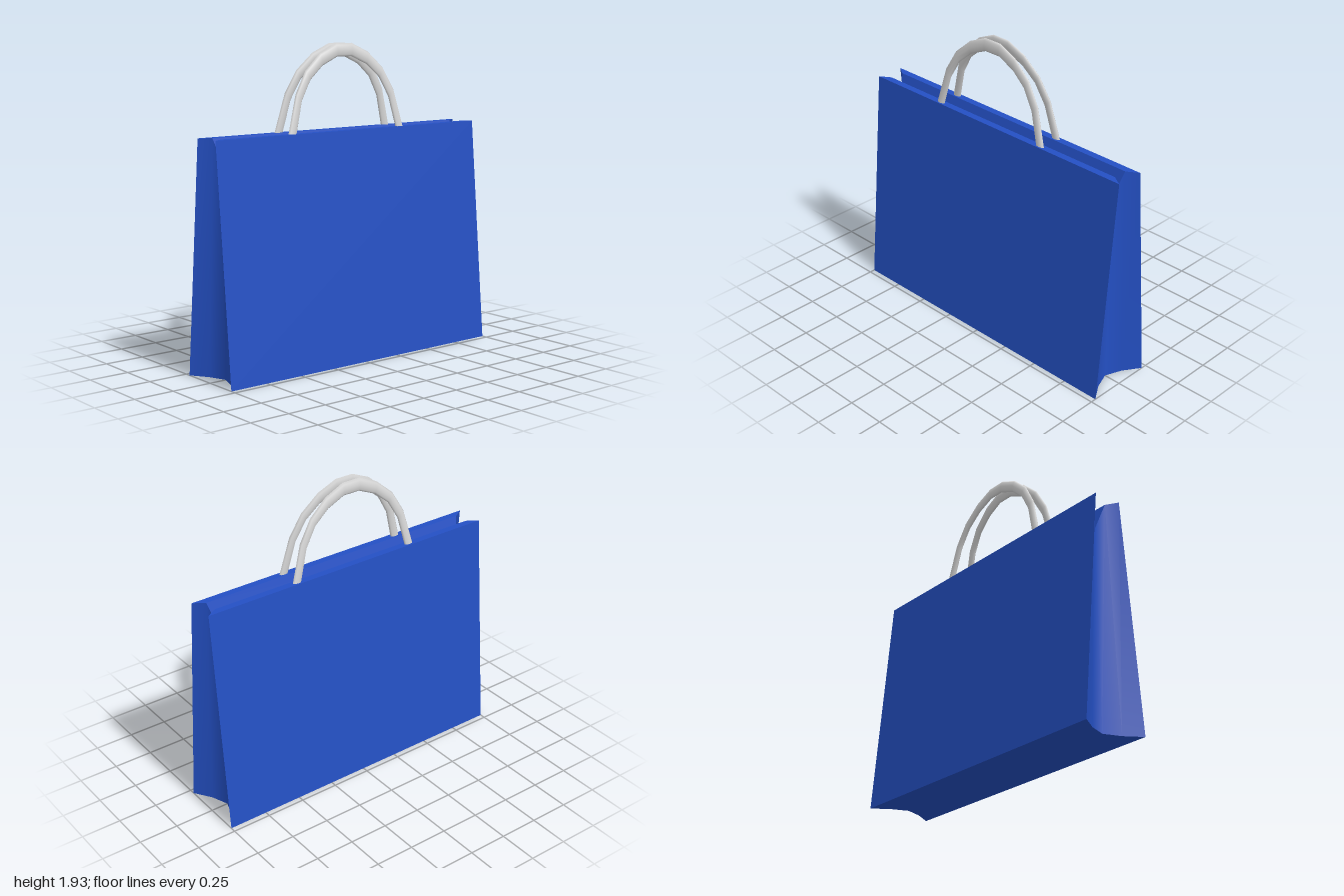
import * as THREE from 'three';
import { mergeVertices } from 'three/addons/utils/BufferGeometryUtils.js';

const TOP = 1.41, VALLEY = 1.26;
const blue = new THREE.MeshStandardMaterial({ color: 0x2450c4 });
blue.name = 'blue paper';
const grey = new THREE.MeshStandardMaterial({ color: 0xd8d8d8 });
grey.name = 'pale grey cord';

// Surface lofted through rows of [x, y, z] points
function loft(rows, smooth) {
  const n = rows[0].length, index = [];
  for (let r = 0; r < rows.length - 1; r++) {
    for (let i = 0; i < n - 1; i++) {
      const a = r * n + i, b = a + 1, c = b + n, d = a + n;
      index.push(a, b, c, a, c, d);
    }
  }
  let g = new THREE.BufferGeometry();
  g.setAttribute('position', new THREE.Float32BufferAttribute(rows.flat(2), 3));
  g.setIndex(index);
  g = smooth ? mergeVertices(g, 1e-5) : g.toNonIndexed();
  g.computeVertexNormals();
  return g;
}

// Folded end edge: five points from -x to +x, creased inward at the middle
const endRow = (halfWidth, y, midY, side) =>
  [[-1, 1], [-0.5, 0.93], [0, 0.89], [0.5, 0.93], [1, 1]]
    .map(([x, z]) => [x * halfWidth, x === 0 ? midY : y, z * side]);

// Handle arch: half spans and heights of the outer and inner edge
const OUTER = [[0.445, 0], [0.38, 0.23], [0.3, 0.365], [0.185, 0.465], [0.06, 0.52]];
const INNER = [[0.385, 0], [0.335, 0.19], [0.265, 0.31], [0.17, 0.39], [0.055, 0.44]];
const mirrored = (pts) => [...pts, ...[...pts].reverse().map(([z, y]) => [-z, y])];

function handleGeometry(side) {
  const outer = mirrored(OUTER), inner = mirrored(INNER), sides = 8;
  const rings = outer.map(([oz, oy], k) => {
    const [iz, iy] = inner[k], ring = [];
    for (let i = 0; i <= sides; i++) {
      const t = (i % sides) / sides * Math.PI * 2;
      const c = Math.cos(t) / 2;
      const y = (oy + iy) / 2 + (oy - iy) * c;
      const z = (oz + iz) / 2 + (oz - iz) * c;
      // the arch leans towards the middle of the bag
      const x = side * (0.068 - 0.067 * y) + 0.0135 * Math.sin(t);
      ring.push([x, TOP + y, z + 0.03]);
    }
    return ring;
  });
  return loft(rings, true);
}

export function createModel() {
  const group = new THREE.Group();
  group.name = 'shoppingBag';
  const add = (name, geometry, material) => {
    const mesh = new THREE.Mesh(geometry, material);
    mesh.name = name;
    group.add(mesh);
  };

  const bottomFront = endRow(0.215, 0, 0, 1), bottomBack = endRow(0.215, 0, 0, -1);
  const topFront = endRow(0.09, TOP, VALLEY, 1), topBack = endRow(0.09, TOP, VALLEY, -1);
  const flip = (row) => [...row].reverse();

  // Creased ends
  add('frontGusset', loft([bottomFront, topFront], true), blue);
  add('backGusset', loft([flip(bottomBack), flip(topBack)], true), blue);

  // Large sloping panels
  add('leftPanel', loft([[bottomFront[4], bottomBack[4]], [topFront[4], topBack[4]]]), blue);
  add('rightPanel', loft([[bottomBack[0], bottomFront[0]], [topBack[0], topFront[0]]]), blue);

  // Base, and folded top with its valley
  add('base', loft([bottomBack, bottomFront]), blue);
  add('foldedTop', loft([topFront, topBack]), blue);

  // Pair of handles
  add('leftHandle', handleGeometry(1), grey);
  add('rightHandle', handleGeometry(-1), grey);
  return group;
}
